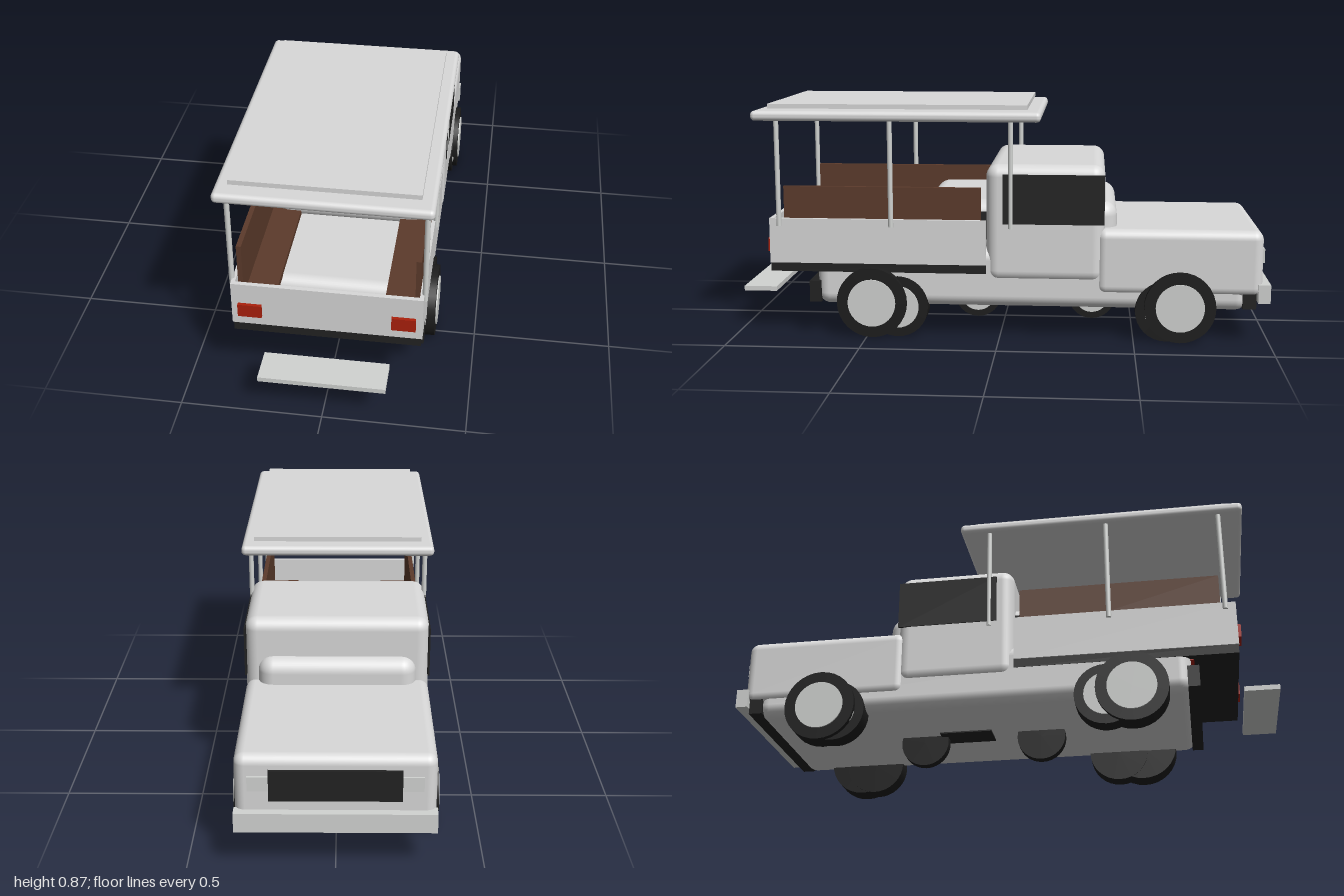
import * as THREE from 'three';
import { RoundedBoxGeometry } from 'three/addons/geometries/RoundedBoxGeometry.js';

const material = (name, color) => {
  const m = new THREE.MeshStandardMaterial({ color });
  m.name = name;
  return m;
};

export function createModel() {
  const paint = material('pale paint', 0xd9d9d9);
  const metal = material('light metal', 0xd2d4d2);
  const dark = material('black trim', 0x222222);
  const rubber = material('tyre rubber', 0x1d1d1d);
  const wood = material('brown wood', 0x5c3b2b);
  const red = material('red lamp', 0xab200c);

  const model = new THREE.Group();
  model.name = 'openSidedTruck';

  const add = (name, geometry, mat, x = 0, y = 0, z = 0) => {
    const mesh = new THREE.Mesh(geometry, mat);
    mesh.name = name;
    mesh.position.set(x, y, z);
    model.add(mesh);
    return mesh;
  };
  // Boxes are given by their limits on each axis; a radius rounds the edges.
  const box = (name, mat, [x0, x1], [y0, y1], [z0, z1], radius = 0) => {
    const size = [x1 - x0, y1 - y0, z1 - z0];
    const geometry = radius
      ? new RoundedBoxGeometry(...size, 4, radius)
      : new THREE.BoxGeometry(...size);
    return add(name, geometry, mat, (x0 + x1) / 2, (y0 + y1) / 2, (z0 + z1) / 2);
  };
  const pair = (name, mat, [x0, x1], ys, zs) => {
    box(name + 'Left', mat, [x0, x1], ys, zs);
    box(name + 'Right', mat, [-x1, -x0], ys, zs);
  };
  const disc = (name, mat, r, x0, x1, y, z) => {
    const mesh = add(name, new THREE.CylinderGeometry(r, r, x1 - x0, 32), mat, (x0 + x1) / 2, y, z);
    mesh.rotation.z = Math.PI / 2;
  };

  // Lower body and the low cabin that runs through the cab into the bed
  box('lowerBody', paint, [-0.325, 0.325], [0.116, 0.34], [-0.92, 0.69], 0.045);
  box('innerCabin', paint, [-0.288, 0.288], [0.32, 0.515], [-0.435, 0.3], 0.055);
  pair('innerCabinWindow', dark, [0.286, 0.291], [0.37, 0.475], [-0.34, 0.21]);

  // Cab and hood
  box('cab', paint, [-0.335, 0.335], [0.214, 0.656], [-0.39, 0.05], 0.045);
  box('hood', paint, [-0.334, 0.334], [0.172, 0.42], [-0.972, -0.36], 0.035);
  pair('cabWindow', dark, [0.331, 0.338], [0.437, 0.622], [-0.388, -0.013]);

  // Nose: grille, headlights and bumpers
  box('grille', dark, [-0.22, 0.22], [0.26, 0.372], [-0.982, -0.968]);
  pair('headlight', metal, [0.215, 0.29], [0.296, 0.348], [-0.98, -0.965]);
  box('frontBumper', metal, [-0.337, 0.337], [0.152, 0.222], [-1, -0.955]);
  box('lowerFrontBumper', dark, [-0.325, 0.325], [0.127, 0.208], [-0.95, -0.9]);
  box('rearBumper', dark, [-0.325, 0.325], [0.127, 0.208], [0.675, 0.718]);

  // Open bed
  box('bedBase', dark, [-0.326, 0.326], [0.245, 0.278], [0.05, 0.862]);
  pair('bedSide', paint, [0.316, 0.33], [0.278, 0.447], [0.05, 0.864]);
  box('tailgate', paint, [-0.316, 0.316], [0.278, 0.447], [0.848, 0.864]);
  pair('tailLight', red, [0.224, 0.307], [0.317, 0.367], [0.862, 0.876]);
  pair('lowerTailLight', red, [0.213, 0.296], [0.242, 0.29], [0.685, 0.702]);

  // Facing benches
  pair('benchSeat', wood, [0.19, 0.315], [0.335, 0.36], [0.07, 0.81]);
  pair('benchBack', wood, [0.298, 0.3155], [0.36, 0.567], [0.07, 0.81]);

  // Canopy on six posts
  for (const side of [-1, 1])
    for (const z of [0.826, 0.404, -0.042])
      add('canopyPost', new THREE.CylinderGeometry(0.0095, 0.0095, 0.402, 10), metal, side * 0.332, 0.62, z);
  box('canopy', paint, [-0.36, 0.36], [0.814, 0.851], [-0.153, 0.917], 0.016);
  box('canopyTopPanel', paint, [-0.314, 0.314], [0.857, 0.874], [-0.102, 0.861]);

  // Rear step
  box('rearStep', metal, [-0.221, 0.221], [0.14, 0.158], [0.873, 1]);

  // Outer wheels with a smaller set tucked behind them
  for (const side of [-1, 1]) {
    const span = (a, b) => (side > 0 ? [a, b] : [-b, -a]);
    for (const z of [0.478, -0.67]) {
      disc('outerTyre', rubber, 0.132, ...span(0.268, 0.354), 0.133, z);
      disc('outerHub', metal, 0.09, ...span(0.35, 0.359), 0.133, z);
    }
    for (const z of [0.383, -0.62]) {
      disc('innerTyre', rubber, 0.115, ...span(0.266, 0.335), 0.116, z);
      disc('innerHub', metal, 0.08, ...span(0.33, 0.34), 0.116, z);
    }
  }

  // Middle wheels and plate under the floor
  for (const z of [0.108, -0.345]) {
    disc('middleTyre', rubber, 0.092, -0.018, 0.018, 0.092, z);
    disc('middleHub', metal, 0.066, 0.014, 0.023, 0.092, z);
  }
  box('underPlate', dark, [-0.055, 0.055], [0.111, 0.125], [-0.28, -0.08]);

  return model;
}
